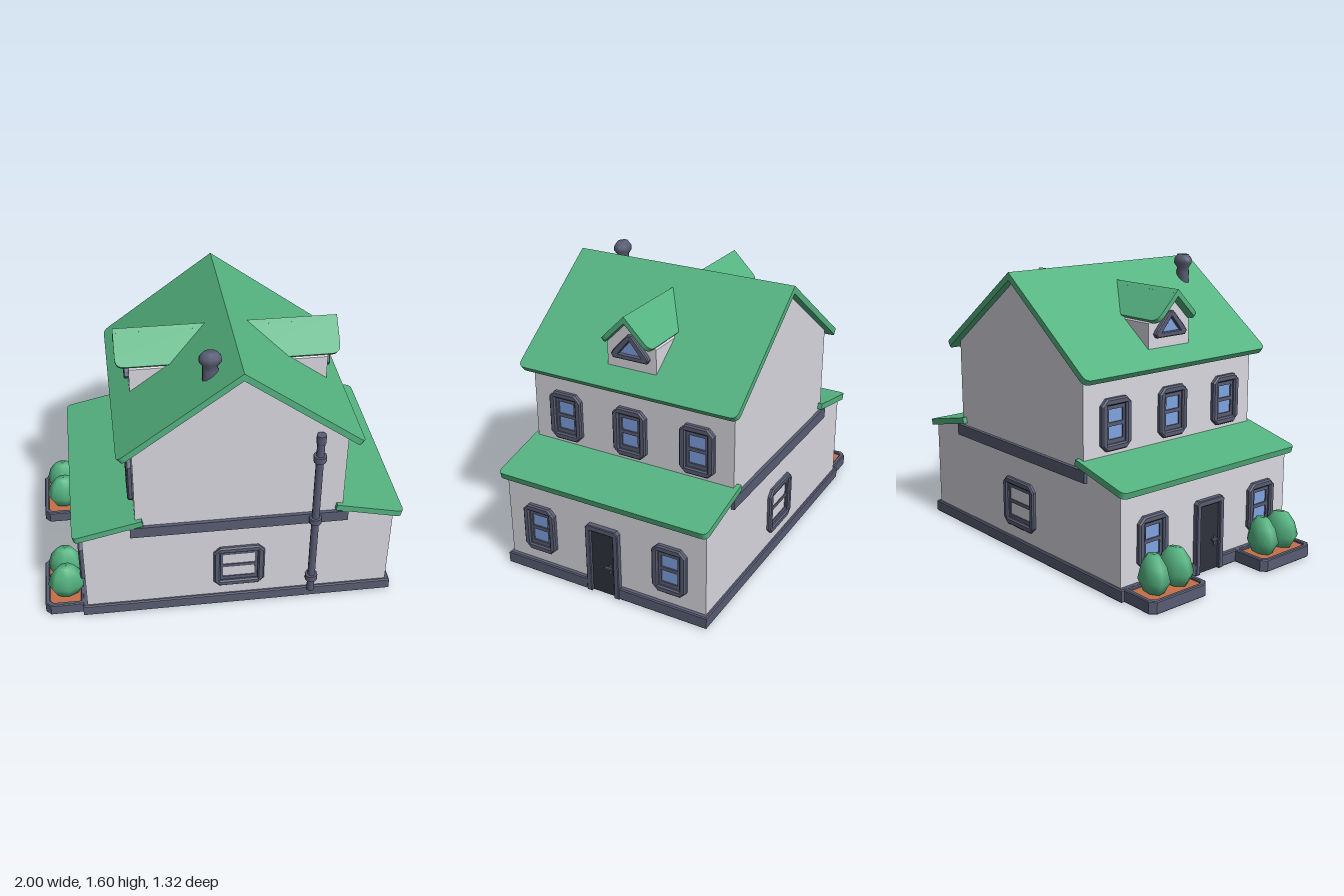
import * as THREE from 'three';

const mat = (name, color) => {
  const m = new THREE.MeshStandardMaterial({ color });
  m.name = name;
  return m;
};

export function createModel() {
  const green = mat('leaf green', 0x55b381);
  const white = mat('plaster white', 0xdad8e0);
  const trim = mat('slate trim', 0x595d73);
  const doorDark = mat('dark door', 0x30323d);
  const glass = mat('window blue', 0x7fa3e0);
  const soilMat = mat('clay soil', 0xc4704a);

  const model = new THREE.Group();
  model.name = 'house';
  const house = new THREE.Group();
  house.name = 'building';
  house.position.set(0.09, 0, -0.005);
  model.add(house);

  const add = (parent, name, geo, material, x = 0, y = 0, z = 0) => {
    const m = new THREE.Mesh(geo, material);
    m.name = name;
    m.position.set(x, y, z);
    parent.add(m);
    return m;
  };
  const poly = (pts) => new THREE.Shape(pts.map(([x, y]) => new THREE.Vector2(x, y)));
  // rectangle with cut corners
  const cutRect = (w, h, c, y = 0) => poly([
    [-w / 2 + c, y - h / 2], [w / 2 - c, y - h / 2], [w / 2, y - h / 2 + c], [w / 2, y + h / 2 - c],
    [w / 2 - c, y + h / 2], [-w / 2 + c, y + h / 2], [-w / 2, y + h / 2 - c], [-w / 2, y - h / 2 + c]]);
  const rect = (w, h, y = 0) => poly([[-w / 2, y - h / 2], [w / 2, y - h / 2], [w / 2, y + h / 2], [-w / 2, y + h / 2]]);
  const extrude = (shape, depth, bevel = 0) => {
    const g = new THREE.ExtrudeGeometry(shape, {
      depth: depth - 2 * bevel, curveSegments: 5, bevelEnabled: bevel > 0, bevelSegments: 1,
      bevelSize: bevel, bevelThickness: bevel, bevelOffset: -bevel });
    return g.translate(0, 0, bevel);
  };

  // sloping roof slab: top surface runs from p0 (ridge) down to p1 (eave)
  const slab = (parent, name, p0, p1, width, thick, r) => {
    const a = new THREE.Vector3(...p0), d = new THREE.Vector3(...p1).sub(a);
    const len = d.length(), w = width / 2;
    d.normalize();
    const side = new THREE.Vector3(0, 1, 0).cross(d).normalize();
    const n = d.clone().cross(side);
    const s = new THREE.Shape();
    s.moveTo(-w, 0);
    s.lineTo(w, 0);
    s.lineTo(w, len - r);
    s.quadraticCurveTo(w, len, w - r, len);
    s.lineTo(-w + r, len);
    s.quadraticCurveTo(-w, len, -w, len - r);
    const g = extrude(s, thick).translate(0, 0, -thick);
    g.applyMatrix4(new THREE.Matrix4().makeBasis(side.negate(), d, n));
    add(parent, name, g, green, ...p0);
  };

  // sash window facing +z, with two panes
  const sashWindow = (parent, name, w, x, y, z) => {
    const g = new THREE.Group();
    g.name = name;
    g.position.set(x, y, z);
    parent.add(g);
    const h = 0.28, iw = w - 0.075, ih = h - 0.075, pw = iw - 0.03;
    const frame = cutRect(w, h, 0.035);
    frame.holes.push(rect(iw, ih));
    add(g, 'frame', extrude(frame, 0.034, 0.008), trim);
    const sash = rect(iw + 0.02, ih + 0.02);
    sash.holes.push(rect(pw, 0.07, 0.045), rect(pw, 0.07, -0.045));
    add(g, 'sash', extrude(sash, 0.018), trim);
    for (const s of [-1, 1]) add(g, 'pane', new THREE.BoxGeometry(pw, 0.07, 0.008), glass, 0, s * 0.045, 0.006);
  };

  // walls: one stepped gable profile
  const half = [[0.855, 0.06], [0.855, 0.56], [0.565, 0.63], [0.565, 1.12]];
  const profile = [...half, [0, 1.535], ...half.map(([x, y]) => [-x, y]).reverse()];
  add(house, 'walls', extrude(poly(profile), 1.21), white, 0, 0, -0.605);

  // plinth, notched at both doors
  const plinth = poly([[-0.88, -0.62], [0.88, -0.62], [0.88, -0.1], [0.85, -0.1], [0.85, 0.1], [0.88, 0.1],
    [0.88, 0.62], [-0.88, 0.62], [-0.88, 0.1], [-0.85, 0.1], [-0.85, -0.1], [-0.88, -0.1]]);
  add(house, 'plinth', extrude(plinth, 0.07, 0.006).rotateX(-Math.PI / 2), trim);
  add(house, 'beltCourse', new THREE.BoxGeometry(1.19, 0.065, 1.25), trim, 0, 0.589, 0);

  // the two long sides are alike: local +z points outward
  for (const s of [1, -1]) {
    const side = new THREE.Group();
    side.name = s > 0 ? 'leftSide' : 'rightSide';
    side.rotation.y = s * Math.PI / 2;
    house.add(side);

    slab(side, 'mainRoof', [0, 1.573, 0], [0, 1.1, 0.647], 1.3, 0.034, 0.04);
    slab(side, 'porchRoof', [0, 0.672, 0.53], [0, 0.585, 0.908], 1.26, 0.035, 0.035);

    for (const x of [-0.4, 0, 0.4]) {
      sashWindow(side, 'upperWindow', 0.2, x, 0.83, 0.56);
      if (x) sashWindow(side, 'lowerWindow', 0.2, x, 0.28, 0.85);
    }

    // door
    const jamb = poly([[-0.1, 0], [-0.07, 0], [-0.07, 0.38], [0.07, 0.38], [0.07, 0], [0.1, 0],
      [0.1, 0.395], [0.085, 0.412], [-0.085, 0.412], [-0.1, 0.395]]);
    add(side, 'doorFrame', extrude(jamb, 0.04, 0.004), trim, 0, 0, 0.845);
    add(side, 'door', new THREE.BoxGeometry(0.145, 0.38, 0.02), doorDark, 0, 0.192, 0.857);
    add(side, 'handlePlate', new THREE.BoxGeometry(0.014, 0.06, 0.008), trim, 0.045, 0.165, 0.869);
    add(side, 'handle', new THREE.BoxGeometry(0.04, 0.012, 0.012), trim, 0.035, 0.175, 0.879);

    // dormer
    const gable = poly([[-0.145, 1.17], [0.145, 1.17], [0.145, 1.315], [0, 1.455], [-0.145, 1.315]]);
    add(side, 'dormerWall', extrude(gable, 0.24), white, 0, 0, 0.3);
    for (const k of [-1, 1]) slab(side, 'dormerRoof', [0, 1.49, 0.36], [k * 0.152, 1.337, 0.36], 0.5, 0.026, 0.05);
    const tri = poly([[-0.1, 1.235], [0.1, 1.235], [0.112, 1.255], [0.1, 1.275], [0.015, 1.37],
      [-0.015, 1.37], [-0.1, 1.275], [-0.112, 1.255]]);
    tri.holes.push(poly([[-0.066, 1.262], [0.066, 1.262], [0, 1.34]]));
    add(side, 'dormerWindowFrame', extrude(tri, 0.03, 0.005), trim, 0, 0, 0.535);
    add(side, 'dormerPane', extrude(poly([[-0.075, 1.257], [0.075, 1.257], [0, 1.348]]), 0.008), glass, 0, 0, 0.538);
  }

  // gable end windows
  for (const r of [0, Math.PI]) {
    const end = new THREE.Group();
    end.name = r ? 'backEnd' : 'frontEnd';
    end.rotation.y = r;
    house.add(end);
    sashWindow(end, 'gableWindow', 0.285, 0, 0.28, 0.592);
  }

  // chimney pot
  const pot = [[0.042, 1.35], [0.042, 1.5], [0.04, 1.525], [0.06, 1.55], [0.058, 1.575], [0.037, 1.6], [0, 1.6]];
  const chimney = add(model, 'chimney',
    new THREE.LatheGeometry(pot.map((p) => new THREE.Vector2(...p)), 10), trim, -0.055, 0, 0.47);
  chimney.scale.z = 0.75;

  // drainpipe with collars
  const pipe = new THREE.Group();
  pipe.name = 'drainpipe';
  pipe.position.set(0.5, 0, 0.632);
  model.add(pipe);
  add(pipe, 'pipe', new THREE.CylinderGeometry(0.021, 0.021, 1.05, 10), trim, 0, 0.595, 0);
  add(pipe, 'pipeTop', new THREE.CylinderGeometry(0.026, 0.026, 0.05, 10), trim, 0, 1.135, 0);
  for (const y of [0.17, 0.59, 1.01]) {
    add(pipe, 'collar', new THREE.CylinderGeometry(0.035, 0.035, 0.036, 10), trim, 0, y, 0);
    add(pipe, 'bracket', new THREE.BoxGeometry(0.02, 0.02, 0.04), trim, 0, y, -0.025);
  }

  // planters with shrubs
  const bush = [[0, 0.05], [0.07, 0.06], [0.108, 0.125], [0.085, 0.2], [0.045, 0.25], [0, 0.252]];
  for (const z of [-0.41, 0.39]) {
    const planter = new THREE.Group();
    planter.name = 'planter';
    planter.position.set(-0.89, 0, z);
    model.add(planter);
    const outer = poly([[0.11, -0.195], [0.11, 0.195], [-0.08, 0.195], [-0.11, 0.165], [-0.11, -0.165], [-0.08, -0.195]]);
    const inner = poly([[0.09, -0.168], [0.09, 0.168], [-0.065, 0.168], [-0.083, 0.15], [-0.083, -0.15], [-0.065, -0.168]]);
    outer.holes.push(inner);
    add(planter, 'rim', extrude(outer, 0.07, 0.005).rotateX(-Math.PI / 2), trim);
    add(planter, 'planterFloor', new THREE.BoxGeometry(0.18, 0.02, 0.34), trim, 0.01, 0.012, 0);
    add(planter, 'soil', extrude(inner, 0.035).rotateX(-Math.PI / 2), soilMat, 0, 0.022, 0);
    for (const k of [-1, 1]) {
      const shrub = add(planter, 'shrub',
        new THREE.LatheGeometry(bush.map((p) => new THREE.Vector2(...p)), 7), green, 0.017, 0, k * 0.075);
      shrub.scale.z = 0.68;
      shrub.rotation.y = k * 0.15;
    }
  }

  return model;
}
